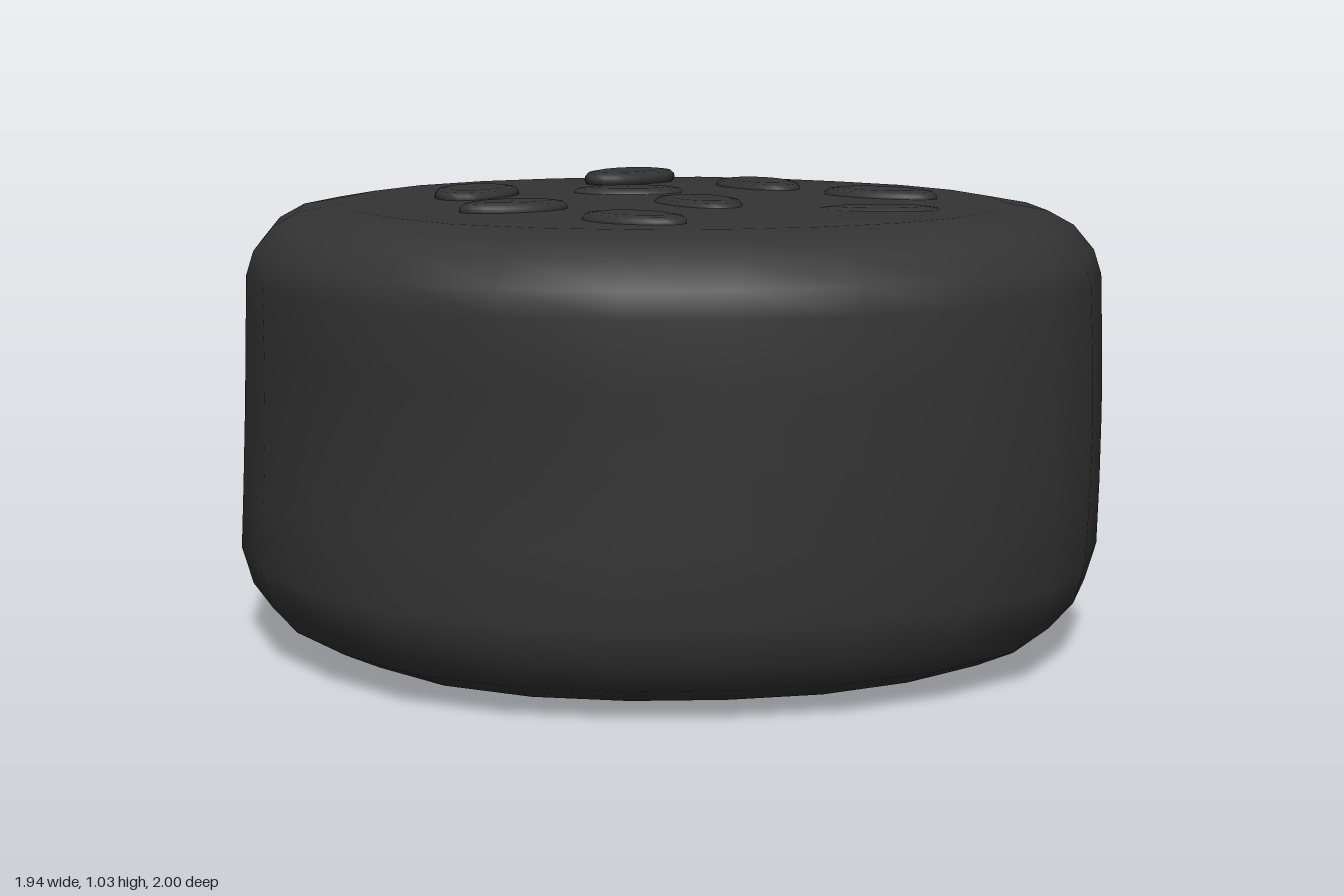
import * as THREE from 'three';
import { mergeVertices } from 'three/addons/utils/BufferGeometryUtils.js';

const material = new THREE.MeshStandardMaterial({ color: 0x343434 });

// Outline radius every 15 degrees, from the front (+z) towards +x, low and high on the wall
const LOW = [0.99, 0.98, 0.985, 0.965, 0.95, 0.955, 0.97, 0.967, 0.965, 0.94, 0.94, 0.97,
  1.0, 0.995, 1.0, 0.985, 0.975, 0.965, 0.967, 0.95, 0.93, 0.925, 0.945, 0.965];
const HIGH = [0.985, 0.978, 0.98, 0.965, 0.95, 0.935, 0.915, 0.93, 0.95, 0.942, 0.945, 0.96,
  0.972, 0.968, 0.975, 0.96, 0.957, 0.962, 0.972, 0.957, 0.947, 0.94, 0.952, 0.968];

// Side section: [fraction of outline radius, height]
const PROFILE = [[0, 0.005], [0.4, 0.005], [0.72, 0.015], [0.83, 0.031], [0.92, 0.073], [0.975, 0.135],
  [1, 0.22], [1, 0.37], [1, 0.53], [1, 0.69], [1, 0.84], [0.982, 0.895], [0.935, 0.95],
  [0.875, 0.982], [0.78, 0.998], [0.4, 1.003], [0, 1.005]];

// Weld the seam and recompute smooth normals
function smooth(geometry) {
  geometry.deleteAttribute('uv');
  geometry.deleteAttribute('normal');
  const welded = mergeVertices(geometry, 1e-4);
  welded.computeVertexNormals();
  return welded;
}

function createBody() {
  const n = LOW.length;
  const geo = new THREE.LatheGeometry(PROFILE.map(([r, y]) => new THREE.Vector2(r, y)), n);
  const pos = geo.attributes.position;
  for (let i = 0; i < pos.count; i++) {
    const x = pos.getX(i), y = pos.getY(i), z = pos.getZ(i);
    const a = Math.atan2(x, z);
    const k = (Math.round(a / (Math.PI * 2) * n) + n) % n;
    const t = THREE.MathUtils.clamp((y - 0.22) / 0.62, 0, 1);
    // Slight swelling at the front and waist at the -x side, halfway up
    const swell = 0.012 * Math.max(0, Math.cos(a)) ** 4 - 0.018 * Math.max(0, -Math.sin(a)) ** 6;
    const s = THREE.MathUtils.lerp(LOW[k], HIGH[k], t) + swell * Math.sin(Math.PI * t);
    pos.setXYZ(i, x * s, y, z * s);
  }
  const body = new THREE.Mesh(smooth(geo), material);
  body.name = 'body';
  return body;
}

// Seeds: [x, z, half length, half width, turn in degrees, top height]
const SEEDS = [
  [-0.20, -0.41, 0.152, 0.093, 25, 1.023],
  [0.36, -0.39, 0.15, 0.093, 5, 1.032],
  [-0.45, -0.09, 0.125, 0.073, -27, 1.023],
  [0.07, -0.17, 0.13, 0.08, -50, 1.018],
  [0.41, -0.03, 0.15, 0.088, 60, 1.02],
  [-0.09, 0.15, 0.145, 0.088, 60, 1.018],
  [-0.49, 0.27, 0.125, 0.08, 90, 1.018],
  [0.35, 0.35, 0.145, 0.087, 90, 1.02],
  [0.05, 0.53, 0.14, 0.075, -52, 1.008],
];

// Flattened pillow with one end slightly narrower
function createSeed([x, z, length, width, turn, top]) {
  const section = [[0, -1], [0.7, -0.9], [0.95, -0.5], [1, 0], [0.98, 0.45], [0.91, 0.8], [0.7, 0.96], [0, 1]];
  const geo = new THREE.LatheGeometry(section.map(([r, y]) => new THREE.Vector2(r, y)), 24);
  const pos = geo.attributes.position;
  for (let i = 0; i < pos.count; i++) {
    const u = pos.getX(i);
    pos.setXYZ(i, u * length, pos.getY(i) * 0.022, pos.getZ(i) * width * (1 + 0.12 * u));
  }
  const seed = new THREE.Mesh(smooth(geo), material);
  seed.position.set(x, top - 0.022, z);
  seed.rotation.y = THREE.MathUtils.degToRad(turn);
  seed.name = 'seed';
  return seed;
}

export function createModel() {
  const model = new THREE.Group();
  model.name = 'seededBun';
  const seeds = new THREE.Group();
  seeds.name = 'seeds';
  SEEDS.forEach((s) => seeds.add(createSeed(s)));
  model.add(createBody(), seeds);
  return model;
}
